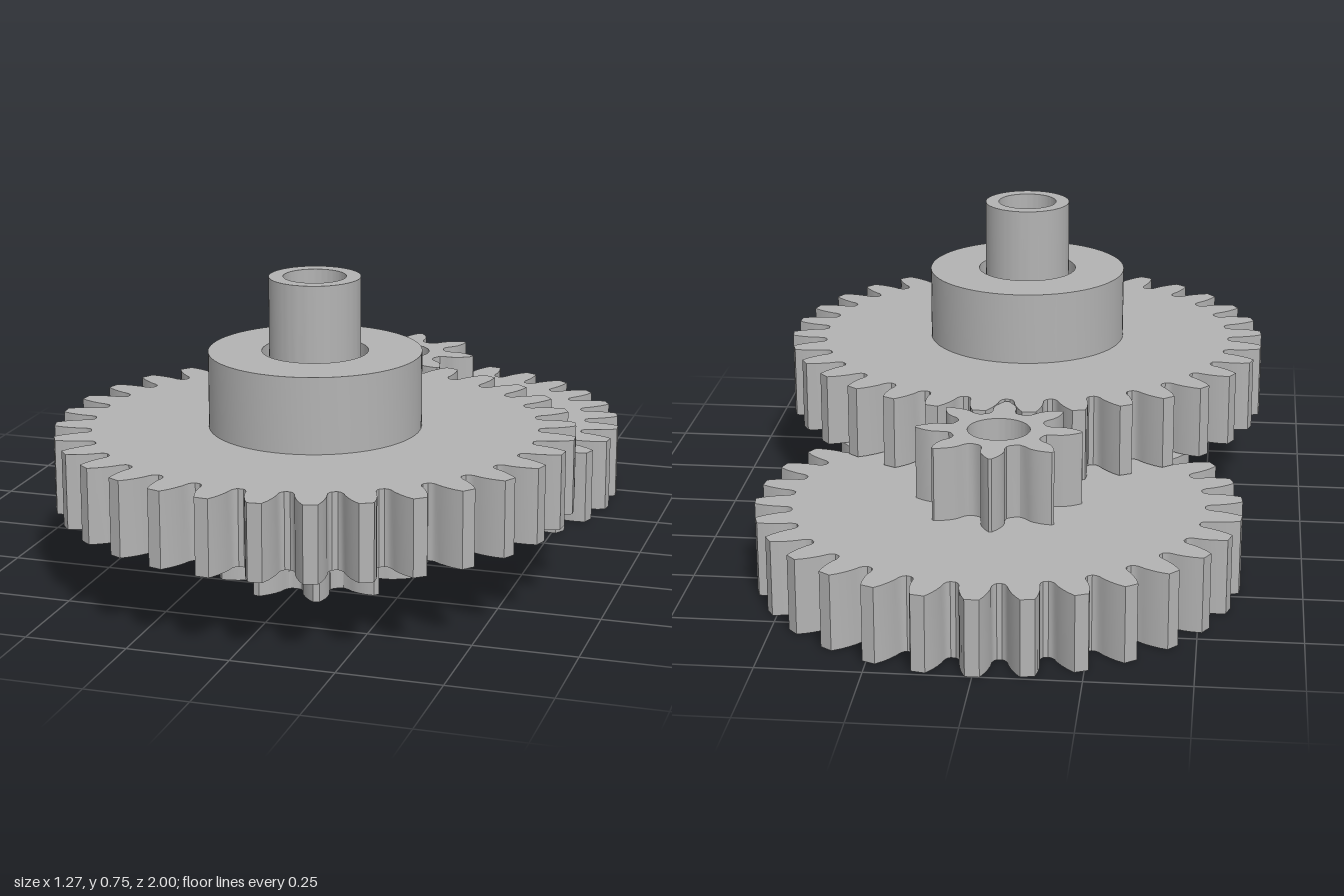
import * as THREE from 'three';
import { toCreasedNormals } from 'three/addons/utils/BufferGeometryUtils.js';

const BORE = 0.077;    // arbor holes
const SLEEVE = 0.112;  // outside of the central tube
const COLLAR = 0.13;   // clearance hole in the upper wheel and hub

// Outline of a gear. profile: [radius, half thickness] pairs from root to tip.
function gearShape(teeth, profile, phase) {
  const points = [];
  for (let i = 0; i < teeth; i++) {
    const centre = phase + (i / teeth) * Math.PI * 2;
    const add = ([r, half], side) => {
      const a = centre + side * (half / r);
      points.push(new THREE.Vector2(r * Math.cos(a), r * Math.sin(a)));
    };
    profile.forEach((p) => add(p, -1));
    [...profile].reverse().forEach((p) => add(p, 1));
  }
  return new THREE.Shape(points);
}

function diskShape(radius) {
  return new THREE.Shape().absarc(0, 0, radius, 0, Math.PI * 2, false);
}

// Extrudes an outline with a round hole upward from y0 to y1.
function solid(name, shape, hole, y0, y1, material) {
  shape.holes.push(new THREE.Path().absarc(0, 0, hole, 0, Math.PI * 2, true));
  let geometry = new THREE.ExtrudeGeometry(shape, {
    depth: y1 - y0, bevelEnabled: false, curveSegments: 48,
  });
  geometry.rotateX(-Math.PI / 2);
  geometry.translate(0, y0, 0);
  geometry = toCreasedNormals(geometry, 0.5);
  const mesh = new THREE.Mesh(geometry, material);
  mesh.name = name;
  return mesh;
}

// Large wheel tooth, measured inward from the tip radius
function wheelProfile(tip) {
  return [
    [tip - 0.092, 0.047], [tip - 0.087, 0.041], [tip - 0.077, 0.037],
    [tip - 0.06, 0.036], [tip - 0.04, 0.032], [tip - 0.02, 0.026], [tip, 0.017],
  ];
}

export function createModel() {
  const model = new THREE.Group();
  model.name = 'gearTrain';
  const metal = new THREE.MeshStandardMaterial({ color: 0xb3b3b3 });
  metal.name = 'grey';
  const up = Math.PI / 2;

  // Rear arbor: large lower wheel with a small pinion on top
  const rear = new THREE.Group();
  rear.name = 'rearGearPair';
  rear.position.z = -0.4;
  const smallTooth = [
    [0.118, 0.038], [0.123, 0.031], [0.135, 0.028], [0.152, 0.029],
    [0.166, 0.027], [0.18, 0.021], [0.193, 0.013], [0.205, 0.004],
  ];
  rear.add(
    solid('rearWheel', gearShape(30, wheelProfile(0.6), up), BORE, 0, 0.19, metal),
    solid('rearPinion', gearShape(8, smallTooth, up), BORE, 0.19, 0.376, metal),
  );

  // Front arbor: pinion and tube, with the wheel and hub turning around the tube
  const front = new THREE.Group();
  front.name = 'frontGearPair';
  front.position.z = 0.362;
  const largeTooth = [
    [0.16, 0.042], [0.165, 0.035], [0.178, 0.032], [0.195, 0.032],
    [0.21, 0.028], [0.225, 0.022], [0.237, 0.015], [0.247, 0.008],
  ];
  front.add(
    solid('frontPinion', gearShape(10, largeTooth, up + Math.PI / 10), BORE, 0.005, 0.19, metal),
    solid('centralTube', diskShape(SLEEVE), BORE, 0.19, 0.75, metal),
    solid('frontWheel', gearShape(32, wheelProfile(0.639), up + Math.PI / 32), COLLAR, 0.192, 0.378, metal),
    solid('hub', diskShape(0.261), COLLAR, 0.378, 0.566, metal),
  );

  model.add(rear, front);
  return model;
}
